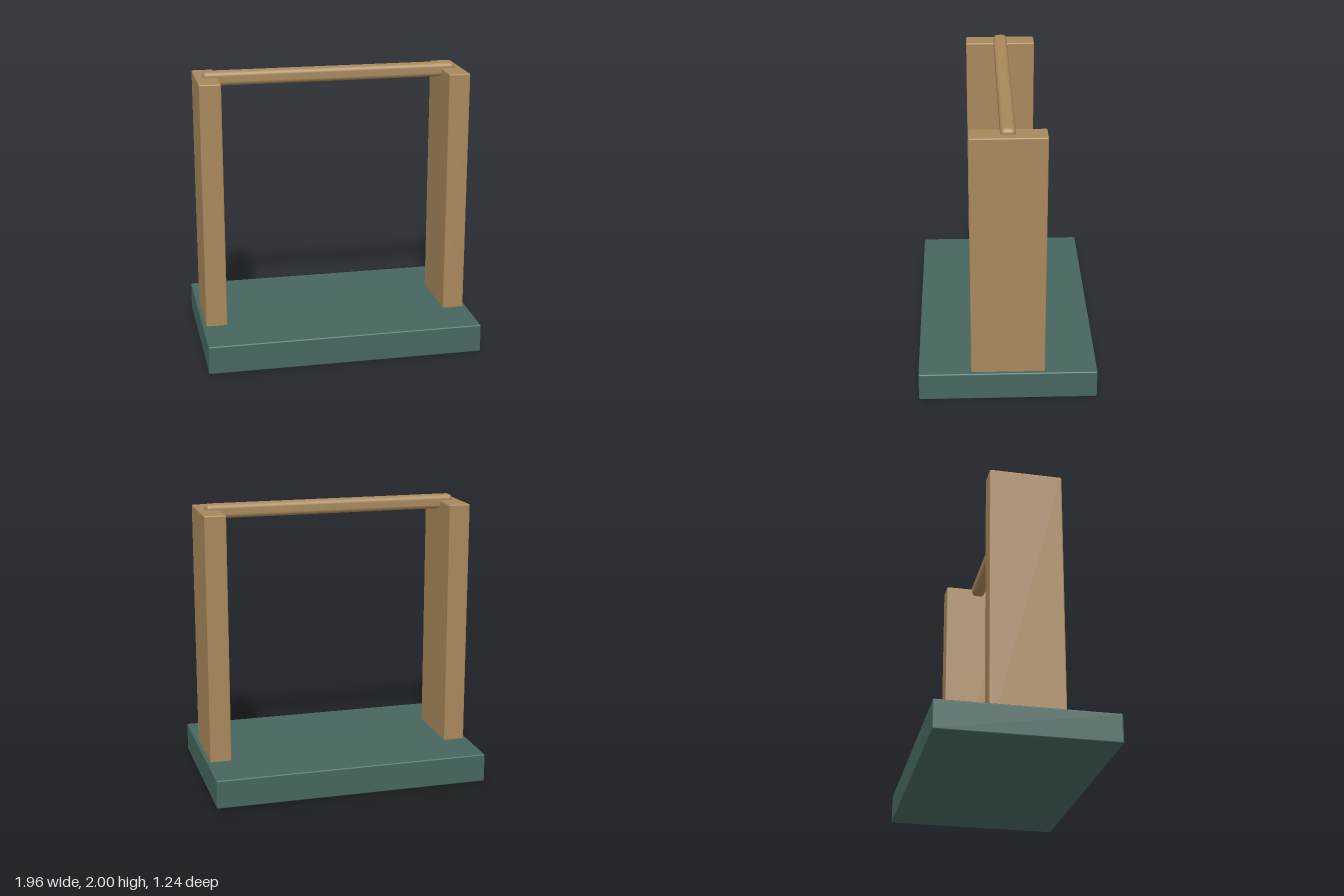
import * as THREE from 'three';
import { RoundedBoxGeometry } from 'three/addons/geometries/RoundedBoxGeometry.js';

const wood = new THREE.MeshStandardMaterial({ color: 0xa8885c });
wood.name = 'wood';
const green = new THREE.MeshStandardMaterial({ color: 0x46665f });
green.name = 'dark green';

// Softened block spanning y0..y1, centred on x and z = 0
function block(name, material, width, y0, y1, depth, x, radius, segments) {
  const geometry = new RoundedBoxGeometry(width, y1 - y0, depth, segments, radius);
  const mesh = new THREE.Mesh(geometry, material);
  mesh.name = name;
  mesh.position.set(x, (y0 + y1) / 2, 0);
  return mesh;
}

export function createModel() {
  const model = new THREE.Group();
  model.name = 'barFrame';

  // Base slab
  model.add(block('base', green, 1.955, 0, 0.205, 1.235, 0, 0.01, 3));

  // Upright posts, set into the base
  for (const side of [-1, 1]) {
    const name = side > 0 ? 'leftPost' : 'rightPost';
    model.add(block(name, wood, 0.152, 0.003, 1.96, 0.51, side * 0.876, 0.01, 3));
  }

  // Rounded bar resting in the post tops
  model.add(block('crossbar', wood, 1.805, 1.9, 2, 0.1, 0, 0.032, 5));

  return model;
}
